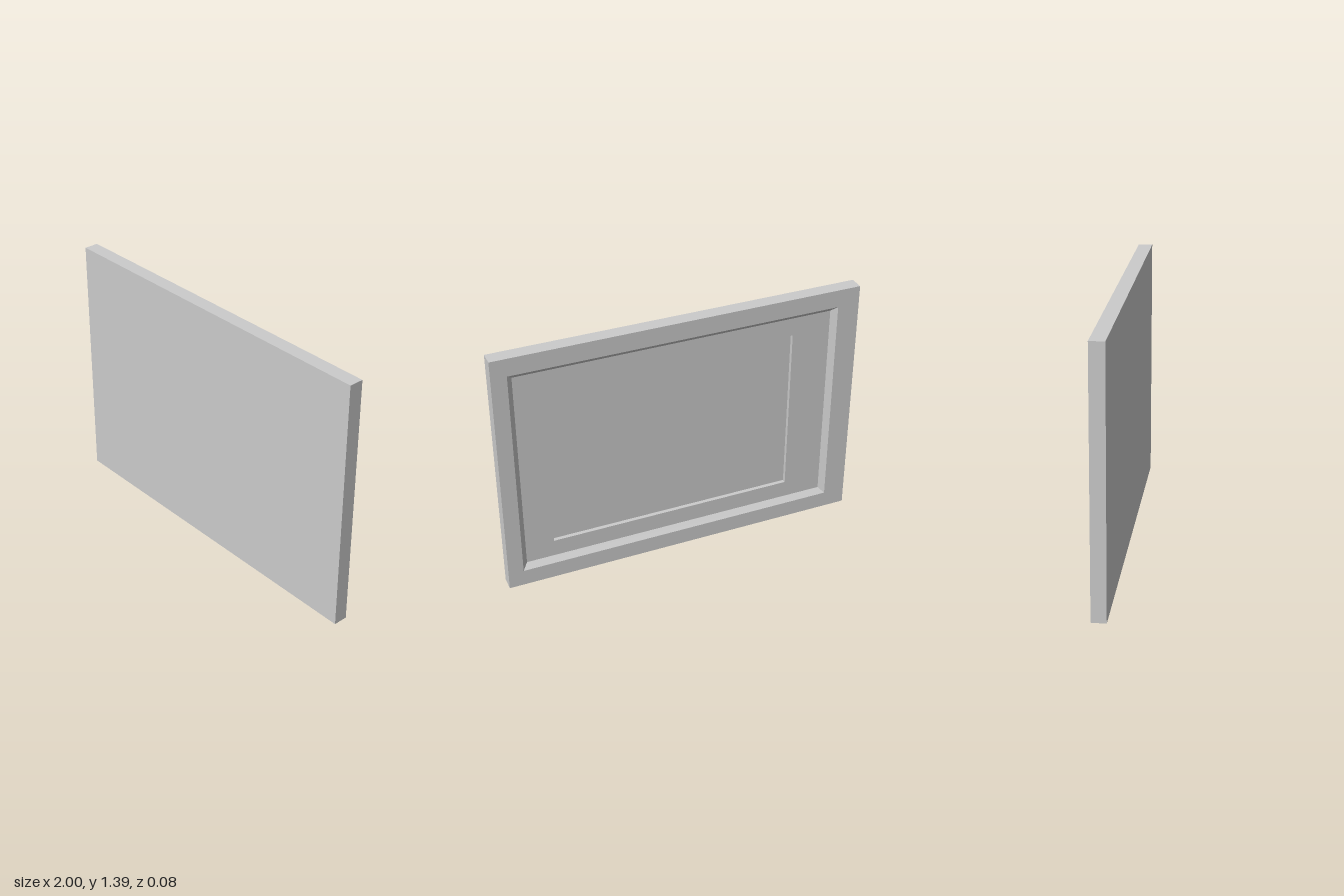
import * as THREE from 'three';

const material = new THREE.MeshStandardMaterial({ color: 0xcccccc, flatShading: true });

// Rectangular ring of four corners, anticlockwise as seen from the front.
const ring = (x0, x1, y0, y1, z) => [[x0, y0, z], [x1, y0, z], [x1, y1, z], [x0, y1, z]];

// Skins consecutive rings; can close the first ring (facing front) or the last (facing back).
function skin(name, rings, { capFront = false, capBack = false } = {}) {
  const positions = [];
  const quad = (a, b, c, d) => [a, b, c, a, c, d].forEach((p) => positions.push(...p));
  for (let r = 0; r < rings.length - 1; r++) {
    const a = rings[r], b = rings[r + 1];
    for (let i = 0; i < 4; i++) {
      const j = (i + 1) % 4;
      quad(a[i], b[i], b[j], a[j]);
    }
  }
  if (capFront) quad(...rings[0]);
  if (capBack) quad(...[...rings[rings.length - 1]].reverse());
  const geometry = new THREE.BufferGeometry();
  geometry.setAttribute('position', new THREE.Float32BufferAttribute(positions, 3));
  geometry.computeVertexNormals();
  const mesh = new THREE.Mesh(geometry, material);
  mesh.name = name;
  return mesh;
}

export function createModel() {
  const group = new THREE.Group();
  group.name = 'panel';

  const height = 1.395, half = 0.039;
  const bevel = 0.029, pocketDepth = 0.022;
  const ledgeZ = -half + bevel, floorZ = ledgeZ + pocketDepth;

  const front = ring(-1, 1, 0, height, half);
  const back = ring(-1, 1, 0, height, -half);
  const rim = ring(-0.878, 0.917, 0.092, 1.297, -half);
  const ledge = ring(-0.878 + bevel, 0.917 - bevel, 0.092 + bevel, 1.297 - bevel, ledgeZ);
  const pocket = ring(-0.634, 0.732, 0.217, 1.166, ledgeZ);
  const floor = ring(-0.634, 0.732, 0.217, 1.166, floorZ);

  // Flat front, outer edges and the border around the back
  group.add(skin('frame', [front, back, rim], { capFront: true }));
  // Sloping sides of the large recess in the back
  group.add(skin('recessBevel', [rim, ledge]));
  // Flat ledge between the bevel and the inner pocket
  group.add(skin('recessLedge', [ledge, pocket]));
  // Shallow straight-sided pocket
  group.add(skin('innerPocket', [pocket, floor], { capBack: true }));

  return group;
}
